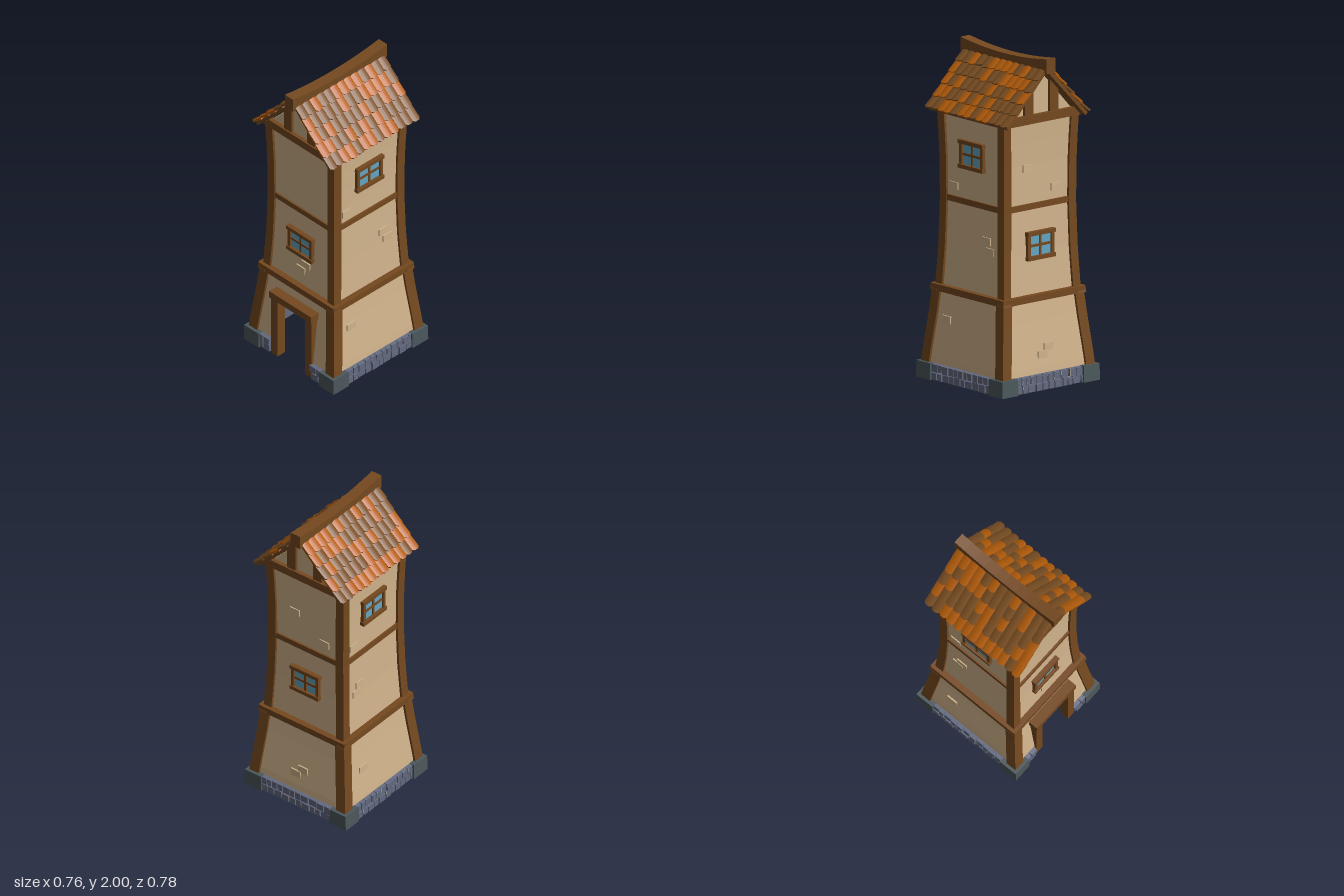
import * as THREE from 'three';
import { mergeGeometries } from 'three/addons/utils/BufferGeometryUtils.js';

const mat = (name, color, side = THREE.FrontSide) => {
  const m = new THREE.MeshStandardMaterial({ color, side });
  m.name = name;
  return m;
};

export function createModel() {
  const model = new THREE.Group();
  model.name = 'tower';
  const plaster = mat('plaster', 0xd2b48c, THREE.DoubleSide);
  const wood = mat('wood', 0x75491f);
  const stone = mat('stone', 0x636a80);
  const cornerStone = mat('cornerStone', 0x4c585c);
  const glass = mat('glass', 0x62a6c2);
  const tileOrange = mat('tileOrange', 0xb35c0a);
  const tileBrown = mat('tileBrown', 0x7a4e22);

  let seed = 11;
  const rand = () => (seed = (seed * 16807) % 2147483647) / 2147483647;

  const add = (parent, name, geo, material, x = 0, y = 0, z = 0) => {
    const m = new THREE.Mesh(geo, material);
    m.name = name;
    m.position.set(x, y, z);
    parent.add(m);
    return m;
  };
  const box = (parent, name, material, w, h, d, x, y, z) =>
    add(parent, name, new THREE.BoxGeometry(w, h, d), material, x, y, z);
  // Moves every vertex by a rule and gives the result faceted normals
  const bend = (geo, rule) => {
    const g = geo.toNonIndexed(), p = g.attributes.position, v = new THREE.Vector3();
    for (let i = 0; i < p.count; i++) {
      rule(v.fromBufferAttribute(p, i));
      p.setXYZ(i, v.x, v.y, v.z);
    }
    g.computeVertexNormals();
    return g;
  };
  const extrude = (pts, depth) => new THREE.ExtrudeGeometry(
    new THREE.Shape(pts.map(([x, y]) => new THREE.Vector2(x, y))), { depth, bevelEnabled: false });

  // Half width of the tower at the outside of its corner posts
  const lowerProfile = [[0, 0.365], [0.1, 0.36], [0.23, 0.346], [0.4, 0.327], [0.55, 0.313]];
  const upperProfile = [[0.55, 0.301], [0.8, 0.288], [1.1, 0.281], [1.4, 0.284], [1.615, 0.293]];
  const halfWidth = (profile, y) => {
    let i = 0;
    while (i < profile.length - 2 && y > profile[i + 1][0]) i++;
    const [a, b] = [profile[i], profile[i + 1]];
    return a[1] + (b[1] - a[1]) * (y - a[0]) / (b[0] - a[0]);
  };
  const inset = 0.015;
  const lowerWall = (y) => halfWidth(lowerProfile, y) - inset;
  const upperWall = (y) => halfWidth(upperProfile, y) - inset;

  const body = new THREE.Group();
  body.name = 'body';
  body.scale.z = 1.02;
  model.add(body);

  // Four sides: front, left, back, right
  const sides = ['front', 'left', 'back', 'right'].map((n, k) => {
    const g = new THREE.Group();
    g.name = n + 'Side';
    g.rotation.y = k * Math.PI / 2;
    body.add(g);
    return g;
  });

  // Curved plaster panel between two edges that may depend on the height
  const panel = (parent, wall, y0, y1, left, right) => add(parent, 'plasterWall',
    bend(new THREE.PlaneGeometry(1, 1, 1, 8), (v) => {
      const y = y0 + (v.y + 0.5) * (y1 - y0);
      v.set(v.x < 0 ? left(y) : right(y), y, wall(y));
    }), plaster);

  // Corner post following the profile
  const post = (parent, name, profile, y0, y1, w) => add(parent, name,
    bend(new THREE.BoxGeometry(1, 1, 1, 1, 8, 1), (v) => {
      const y = y0 + (v.y + 0.5) * (y1 - y0), o = halfWidth(profile, y);
      v.set(o - w * (0.5 - v.x), y, o - w * (0.5 - v.z));
    }), wood);

  // Four-pane window
  const addWindow = (parent, y) => {
    const w = new THREE.Group();
    w.name = 'window';
    w.position.set(0, y, upperWall(y));
    parent.add(w);
    box(w, 'glass', glass, 0.18, 0.14, 0.008, 0, 0, 0.005);
    for (const s of [-1, 1]) {
      box(w, 'windowRail', wood, 0.215, 0.024, 0.04, 0, s * 0.074, 0.008);
      box(w, 'windowJamb', wood, 0.022, 0.14, 0.034, s * 0.092, 0, 0.004);
    }
    box(w, 'mullion', wood, 0.015, 0.14, 0.024, 0, 0, 0.003);
    box(w, 'glazingBar', wood, 0.17, 0.015, 0.024, 0, 0, 0.003);
  };

  // Exposed bricks per side: x, y
  const bricks = [
    [[0, 0.67], [0.04, 0.72]],
    [[-0.17, 1.175], [0.12, 0.89], [0.15, 0.83], [-0.18, 0.37]],
    [[-0.09, 1.33], [0.13, 1.19], [-0.03, 0.21], [0.02, 0.25]],
    [[-0.17, 1.175], [-0.15, 0.83], [-0.12, 0.88], [-0.15, 0.3]],
  ];

  sides.forEach((side, k) => {
    // Plaster, with a doorway in the front
    if (k === 0) {
      panel(side, lowerWall, 0, 0.42, (y) => -lowerWall(y), () => -0.13);
      panel(side, lowerWall, 0, 0.42, () => 0.13, lowerWall);
      panel(side, lowerWall, 0.42, 0.55, (y) => -lowerWall(y), lowerWall);
    } else panel(side, lowerWall, 0, 0.55, (y) => -lowerWall(y), lowerWall);
    panel(side, upperWall, 0.55, 1.615, (y) => -upperWall(y), upperWall);

    // Timber frame
    post(side, 'lowerPost', lowerProfile, 0.02, 0.545, 0.068);
    post(side, 'upperPost', upperProfile, 0.55, 1.612, 0.057);
    add(side, 'bandBeam', bend(new THREE.BoxGeometry(0.65, 0.04, 0.06), (v) => {
      if (v.y > 0) v.x *= 0.975;
    }), wood, 0, 0.55, 0.292);
    box(side, 'middleBeam', wood, 0.48, 0.036, 0.04, 0, 1.097, 0.258);
    addWindow(side, k % 2 ? 1.385 : 0.86);

    for (const [x, y] of bricks[k]) {
      const d = y < 0.55 ? lowerWall(y) : upperWall(y);
      box(side, 'brick', plaster, 0.07, 0.045, 0.016, x, y, d - 0.001);
    }

    // Stone footing
    add(side, 'cornerStone', bend(new THREE.BoxGeometry(0.125, 0.1, 0.125), (v) => {
      if (v.y > 0) { v.x *= 0.97; v.z *= 0.97; }
    }), cornerStone, 0.3175, 0.05, 0.3175);
    const stones = [];
    for (let row = 0; row < 2; row++) {
      for (let x = -0.265; x < 0.255;) {
        const w = Math.min(0.035 + rand() * 0.03, 0.265 - x), h = 0.046 + rand() * 0.008;
        const cx = x + w / 2, depth = 0.02 + rand() * 0.008;
        x += w;
        if (k === 0 && Math.abs(cx) < 0.165) continue;
        stones.push(bend(new THREE.BoxGeometry(w, h, depth), (v) => {
          if (v.z > 0) { v.x *= 0.85; v.y *= 0.88; v.x += (rand() - 0.5) * 0.003; }
          v.x += cx;
          v.y += row ? 0.099 - h / 2 : h / 2;
          v.z += 0.345 + depth / 2;
        }));
      }
    }
    add(side, 'footingStones', mergeGeometries(stones), stone);

    // Timbered gable
    if (k % 2 === 0) {
      const tri = new THREE.Shape([[-0.29, 1.6], [0.29, 1.6], [0, 1.91]].map(([x, y]) => new THREE.Vector2(x, y)));
      add(side, 'gableWall', new THREE.ShapeGeometry(tri), plaster, 0, 0, 0.279);
      add(side, 'gableBeam', extrude([[-0.297, 1.603], [0.297, 1.603], [0.248, 1.655], [-0.248, 1.655]], 0.04),
        wood, 0, 0, 0.264);
      const stud = [[0.065, 1.65], [0.13, 1.65], [0.13, 1.785], [0.065, 1.85]];
      add(side, 'gableStud', extrude(stud, 0.025), wood, 0, 0, 0.27);
      add(side, 'gableStud', extrude(stud.map(([x, y]) => [-x, y]).reverse(), 0.025), wood, 0, 0, 0.27);
    }
  });

  // Door frame
  const door = new THREE.Group();
  door.name = 'doorFrame';
  model.add(door);
  for (const s of [-1, 1]) box(door, 'doorPost', wood, 0.055, 0.415, 0.06, s * 0.143, 0.2075, 0.337);
  box(door, 'lintel', wood, 0.355, 0.046, 0.075, 0, 0.433, 0.338);

  // Roof: boards and overlapping tiles, laid along x and then tilted to the slope
  const slope = 0.8, peak = 1.946;
  const columns = 13, pitch = 0.73 / columns;
  for (const s of [0, 1]) {
    const place = (g) => g.rotateZ(-slope).translate(0, peak, 0).rotateY(s * Math.PI);
    add(model, 'roofBoards',
      place(new THREE.BoxGeometry(0.455, 0.022, 0.7).translate(0.2275, -0.011, 0)), wood);
    const tiles = [[], []];
    for (let row = 0; row < 5; row++) {
      for (let c = 0; c < columns; c++) {
        const g = bend(new THREE.BoxGeometry(0.1, 0.013, pitch, 1, 1, 4), (v) => {
          const edge = Math.abs(v.z) / (pitch / 2);
          v.y -= 0.005 * edge * edge;
          if (v.x > 0 && edge > 0.9) v.x -= 0.012;
        });
        g.rotateX((rand() - 0.5) * 0.1).translate(0.05, 0, 0).rotateZ(0.08 + rand() * 0.04);
        g.translate(0.02 + row * 0.086 + (rand() - 0.5) * 0.008, 0.008, (c - (columns - 1) / 2) * pitch);
        tiles[rand() < 0.45 ? 0 : 1].push(place(g));
      }
    }
    add(model, 'orangeTiles', mergeGeometries(tiles[0]), tileOrange);
    add(model, 'brownTiles', mergeGeometries(tiles[1]), tileBrown);
  }

  // Sagging ridge beam
  add(model, 'ridgeBeam', bend(new THREE.BoxGeometry(0.07, 0.09, 0.77, 1, 1, 10), (v) => {
    v.y += 1.925 + 0.03 * (v.z / 0.385) ** 2;
  }), wood);

  return model;
}
